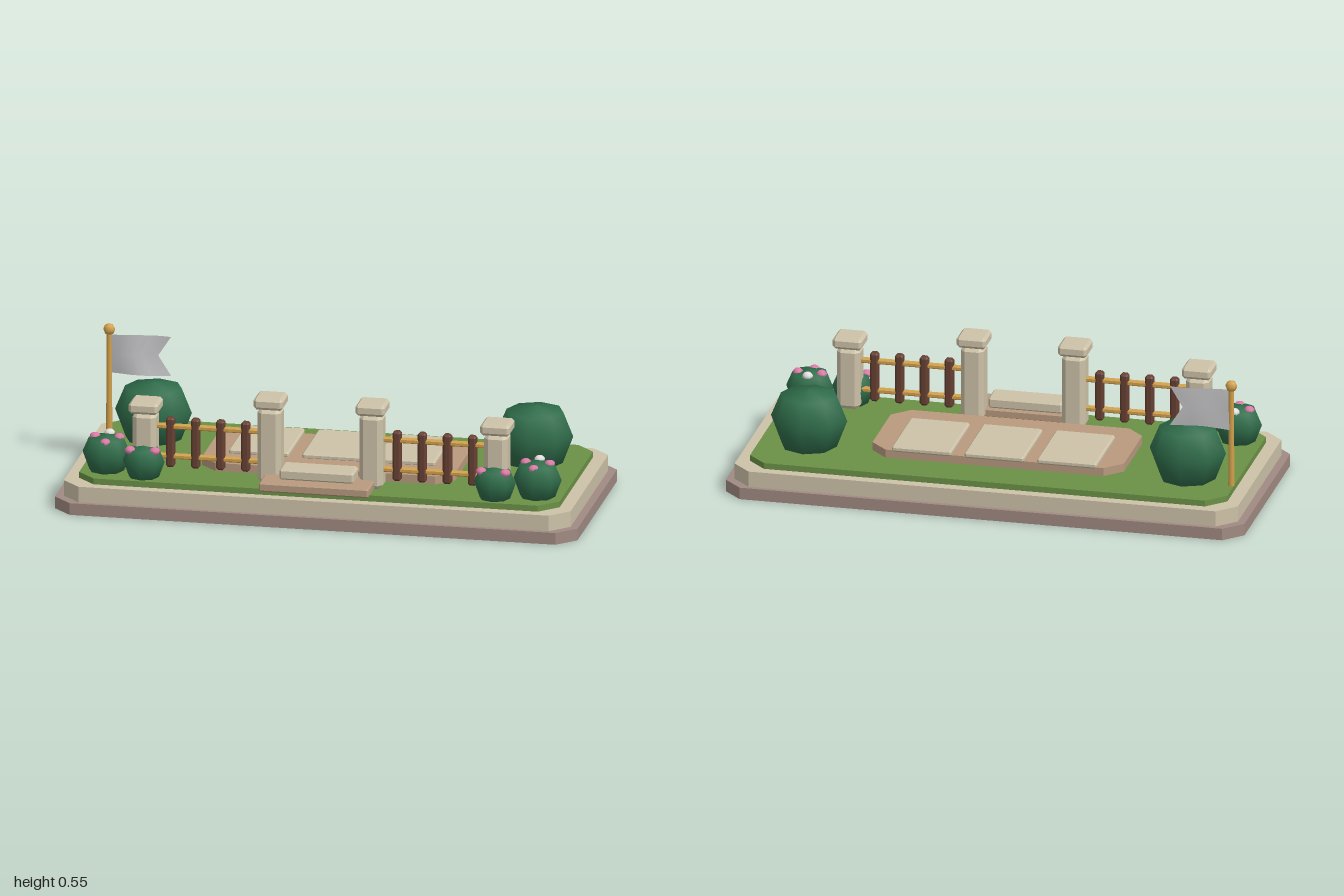
import * as THREE from 'three';
import { ConvexGeometry } from 'three/addons/geometries/ConvexGeometry.js';

const mat = (name, color, opts = {}) => {
  const m = new THREE.MeshStandardMaterial({ color, ...opts });
  m.name = name;
  return m;
};

export function createModel() {
  const model = new THREE.Group();
  model.name = 'gardenPlot';

  const plinthMat = mat('mauve plinth', 0xa08a82);
  const stoneMat = mat('pale stone', 0xcdc2a8);
  const grassMat = mat('grass green', 0x6a9146);
  const pathMat = mat('clay path', 0xb8997e);
  const woodMat = mat('dark wood', 0x663f32);
  const goldMat = mat('golden wood', 0xd3a24c);
  const leafMat = mat('leaf green', 0x2f6c4a);
  const pinkMat = mat('petal pink', 0xdc7ba6);
  const whiteMat = mat('petal white', 0xe4e0e0);
  const flagMat = mat('flag grey', 0xc6c6c8, { side: THREE.DoubleSide });

  const add = (name, geometry, material, x = 0, y = 0, z = 0, parent = model) => {
    const mesh = new THREE.Mesh(geometry, material);
    mesh.name = name;
    mesh.position.set(x, y, z);
    parent.add(mesh);
    return mesh;
  };

  // Slab with cut corners, standing on y = 0
  const cutSlab = (w, d, c, h) => {
    const x = w / 2, z = d / 2;
    const shape = new THREE.Shape([
      [x - c, -z], [x, c - z], [x, z - c], [x - c, z],
      [c - x, z], [-x, z - c], [-x, c - z], [c - x, -z],
    ].map(([a, b]) => new THREE.Vector2(a, b)));
    return new THREE.ExtrudeGeometry(shape, { depth: h, bevelEnabled: false }).rotateX(-Math.PI / 2);
  };

  // Box with every edge chamfered, standing on y = 0
  const chamferBox = (w, h, d, c) => {
    const points = [];
    for (const i of [-1, 1]) for (const j of [-1, 1]) for (const k of [-1, 1]) {
      const x = w / 2, y = h / 2, z = d / 2;
      points.push(
        new THREE.Vector3(i * x, j * (y - c), k * (z - c)),
        new THREE.Vector3(i * (x - c), j * y, k * (z - c)),
        new THREE.Vector3(i * (x - c), j * (y - c), k * z));
    }
    return new ConvexGeometry(points).translate(0, h / 2, 0);
  };

  // Stepped base and lawn
  add('plinth', cutSlab(2, 0.885, 0.07, 0.046), plinthMat);
  add('stoneTier', cutSlab(1.94, 0.85, 0.07, 0.061), stoneMat, 0, 0.046);
  add('lawn', cutSlab(1.84, 0.768, 0.07, 0.023), grassMat, 0, 0.107);

  // Clay bed with paving stones
  add('clayBed', cutSlab(0.97, 0.425, 0.065, 0.032), pathMat, 0, 0.13, -0.01);
  for (const x of [-0.28, 0, 0.28])
    add('pavingStone', chamferBox(0.23, 0.024, 0.31, 0.007), stoneMat, x, 0.157, -0.075);

  // Entrance steps
  add('lowerStep', chamferBox(0.42, 0.036, 0.16, 0.006), pathMat, 0, 0.131, 0.347);
  add('upperStep', chamferBox(0.285, 0.044, 0.1, 0.008), stoneMat, 0, 0.165, 0.325);

  // Foliage: a rounded eight-sided dome
  const bush = (name, r, y0, yMid, yTop) => {
    const profile = [
      [0, y0], [r * 0.72, y0], [r, yMid],
      [r * 0.74, yTop - (yTop - yMid) * 0.18], [0, yTop],
    ].map(([a, b]) => new THREE.Vector2(a, b));
    return add(name, new THREE.LatheGeometry(profile, 8), leafMat);
  };

  // Flower head flattened onto a bush
  const flower = (material, x, y, z) =>
    add('flower', new THREE.SphereGeometry(0.021, 7, 5).scale(1, 0.75, 1), material, x, y, z);

  for (const s of [-1, 1]) {
    // Gate pillars
    for (const [x, top] of [[0.195, 0.465], [0.673, 0.418]]) {
      const pillar = new THREE.Group();
      pillar.name = 'pillar';
      pillar.position.set(s * x, 0, 0.272);
      model.add(pillar);
      add('pillarShaft', chamferBox(0.09, top - 0.171, 0.09, 0.018), stoneMat, 0, 0.128, 0, pillar);
      add('pillarCap', chamferBox(0.113, 0.045, 0.113, 0.011), stoneMat, 0, top - 0.045, 0, pillar);
    }

    // Fence panel
    for (const y of [0.193, 0.31])
      add('fenceRail', chamferBox(0.41, 0.018, 0.024, 0.004), goldMat, s * 0.434, y, 0.272);
    for (let i = 0; i < 4; i++)
      add('fencePicket', chamferBox(0.033, 0.195, 0.034, 0.008), woodMat, s * (0.29 + i * 0.096), 0.16, 0.272);

    // Bushes
    bush('largeBush', 0.147, 0.128, 0.236, 0.35).position.set(s * 0.73, 0, -0.155);
    bush('outerFlowerBush', 0.092, 0.128, 0.197, 0.266).position.set(s * 0.825, 0, 0.262);
    bush('innerFlowerBush', 0.08, 0.128, 0.19, 0.25).position.set(s * 0.672, 0, 0.315);

    // Flowers
    flower(pinkMat, s * 0.87, 0.256, 0.255);
    flower(pinkMat, s * 0.778, 0.256, 0.252);
    flower(pinkMat, s * 0.82, 0.25, 0.312);
    flower(whiteMat, s * 0.823, 0.259, 0.213);
    flower(pinkMat, s * 0.718, 0.238, 0.345);
    flower(pinkMat, s * 0.625, 0.238, 0.34);
  }

  // Flagpole with finial
  const poleX = -0.91, poleZ = -0.207;
  add('flagpole', new THREE.CylinderGeometry(0.01, 0.012, 0.39, 8), goldMat, poleX, 0.325, poleZ);
  add('finial', new THREE.SphereGeometry(0.023, 8, 4), goldMat, poleX, 0.53, poleZ);

  // Swallow-tailed flag, gently waved
  const flag = new THREE.PlaneGeometry(0.23, 0.155, 6, 2);
  const p = flag.attributes.position;
  for (let i = 0; i < p.count; i++) {
    const u = p.getX(i) / 0.23 + 0.5;
    const v = Math.abs(p.getY(i)) / 0.0775;
    p.setX(i, u * (0.18 + 0.05 * v));
    p.setZ(i, 0.01 * Math.sin(u * 5 + p.getY(i) * 12));
  }
  flag.computeVertexNormals();
  add('flag', flag, flagMat, poleX + 0.005, 0.434, poleZ - 0.003);

  return model;
}
